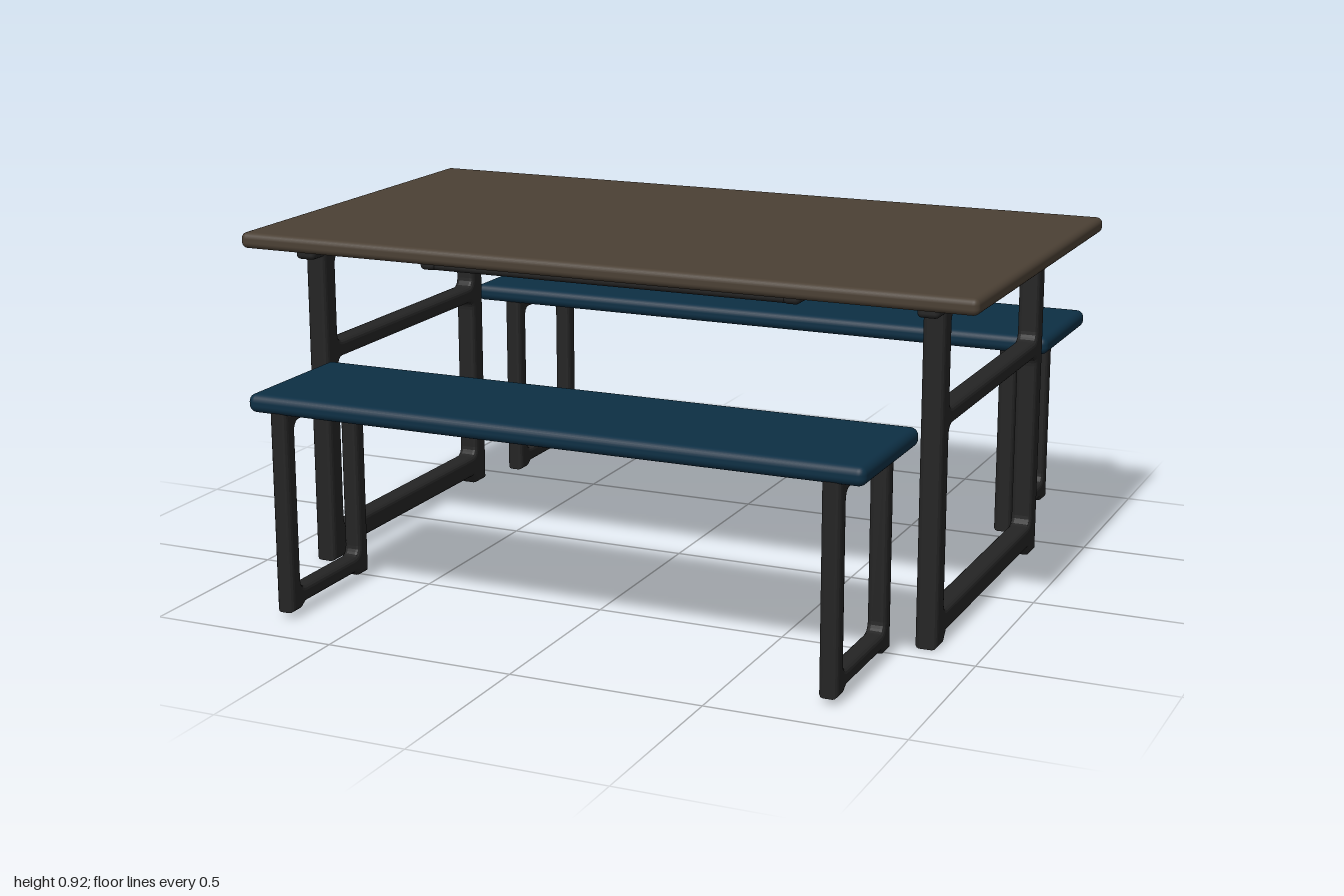
import * as THREE from 'three';
import { RoundedBoxGeometry } from 'three/addons/geometries/RoundedBoxGeometry.js';

const material = (name, color) => {
  const m = new THREE.MeshStandardMaterial({ color });
  m.name = name;
  return m;
};

export function createModel() {
  const model = new THREE.Group();
  model.name = 'picnicTableSet';
  const wood = material('brown wood', 0x4b4034);
  const blue = material('dark blue', 0x0d2f44);
  const steel = material('black steel', 0x242424);

  // Softly rounded box given by its limits on each axis
  function slab(name, mat, [x0, x1], [y0, y1], [z0, z1], radius, parent = model) {
    const geo = new RoundedBoxGeometry(x1 - x0, y1 - y0, z1 - z0, 3, radius);
    const mesh = new THREE.Mesh(geo, mat);
    mesh.name = name;
    mesh.position.set((x0 + x1) / 2, (y0 + y1) / 2, (z0 + z1) / 2);
    parent.add(mesh);
  }

  // Rectangular opening with filleted corners
  function opening(u0, u1, v0, v1, r) {
    const p = new THREE.Path();
    p.moveTo(u0 + r, v0);
    p.lineTo(u1 - r, v0).quadraticCurveTo(u1, v0, u1, v0 + r);
    p.lineTo(u1, v1 - r).quadraticCurveTo(u1, v1, u1 - r, v1);
    p.lineTo(u0 + r, v1).quadraticCurveTo(u0, v1, u0, v1 - r);
    p.lineTo(u0, v0 + r).quadraticCurveTo(u0, v0, u0 + r, v0);
    return p;
  }

  // Welded leg frame standing in the z-y plane: two legs, rails between, small feet
  function legFrame(name, x, zc, o) {
    const h = o.width / 2, inner = h - o.bar;
    const s = new THREE.Shape();
    s.moveTo(-h, o.foot);
    s.lineTo(-inner, o.foot).lineTo(-inner + 0.02, o.rail);
    s.lineTo(inner - 0.02, o.rail).lineTo(inner, o.foot);
    s.lineTo(h, o.foot).lineTo(h, o.top).lineTo(-h, o.top).closePath();
    for (const [v0, v1] of o.gaps) s.holes.push(opening(-inner, inner, v0, v1, 0.025));
    const b = 0.012;
    const geo = new THREE.ExtrudeGeometry(s, {
      depth: o.thick - 2 * b, bevelEnabled: true, bevelThickness: b,
      bevelSize: b, bevelOffset: -b, bevelSegments: 3, curveSegments: 5,
    });
    geo.translate(0, 0, b - o.thick / 2);
    geo.rotateY(-Math.PI / 2);
    const mesh = new THREE.Mesh(geo, steel);
    mesh.name = name;
    mesh.position.set(x, 0, zc);
    model.add(mesh);
  }

  // Table top
  slab('tableTop', wood, [-1, 1], [0.873, 0.915], [-0.56, 0.566], 0.016);

  // Table legs, mounting bars and the support bars under the top
  for (const s of [-1, 1]) {
    const side = s > 0 ? 'left' : 'right';
    legFrame(side + 'TableFrame', s * 0.853, 0.004, {
      width: 0.872, bar: 0.06, thick: 0.057, foot: 0, rail: 0.025, top: 0.872,
      gaps: [[0.085, 0.555], [0.6, 0.835]],
    });
    slab(side + 'MountingBar', steel, [s * 0.853 - 0.028, s * 0.853 + 0.028],
      [0.84, 0.876], [-0.475, 0.49], 0.012);
    slab(side + 'CrossBar', steel, [s * 0.5 - 0.022, s * 0.5 + 0.022],
      [0.838, 0.876], [-0.46, 0.47], 0.012);
    slab(side + 'CentreBar', steel, [s > 0 ? 0.49 : -0.86, s > 0 ? 0.86 : -0.49],
      [0.843, 0.876], [-0.015, 0.03], 0.012);
    slab(s > 0 ? 'frontRail' : 'backRail', steel, [-0.52, 0.52],
      [0.838, 0.876], [s * 0.445 - 0.02, s * 0.445 + 0.02], 0.012);
  }

  // Benches: the front one is shorter and set slightly to one side
  const benches = [
    { name: 'front', x: [-0.785, 0.845], z: [0.495, 0.887], legs: [-0.702, 0.762], zc: 0.692 },
    { name: 'back', x: [-0.88, 0.875], z: [-0.89, -0.49], legs: [-0.765, 0.762], zc: -0.69 },
  ];
  for (const b of benches) {
    slab(b.name + 'BenchSeat', blue, b.x, [0.532, 0.58], b.z, 0.02);
    b.legs.forEach((x, i) => legFrame(`${b.name}Bench${i ? 'Left' : 'Right'}Frame`, x, b.zc, {
      width: 0.375, bar: 0.045, thick: 0.048, foot: 0.015, rail: 0.028, top: 0.54,
      gaps: [[0.07, 0.508]],
    }));
  }
  return model;
}
